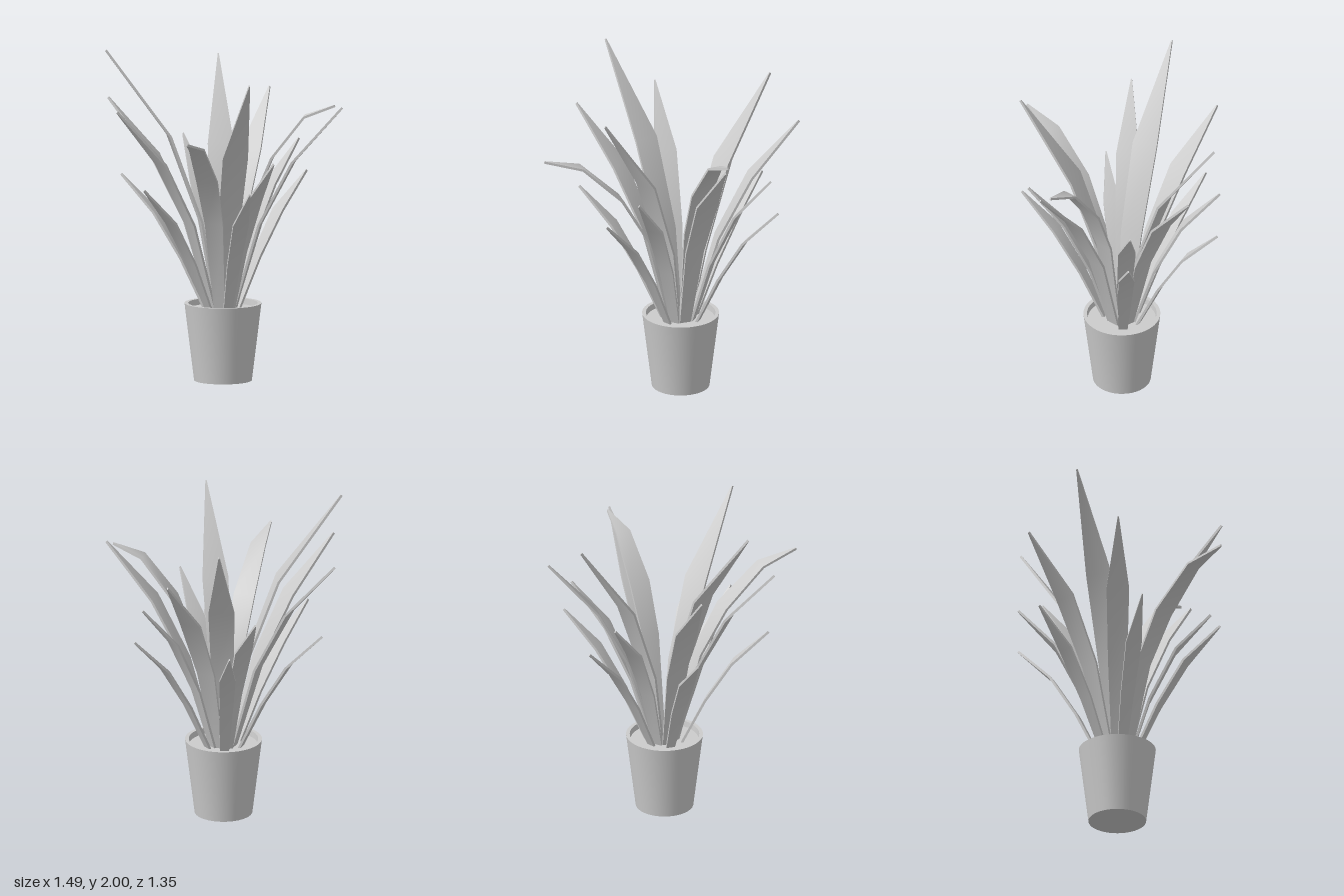
import * as THREE from 'three';
import { toCreasedNormals } from 'three/addons/utils/BufferGeometryUtils.js';

const CX = 0.045, CZ = 0.02; // pot axis
const SOIL = 0.43;

// Leaf types: spine as [fraction of reach, fraction of tip height, fraction of width]
const TYPES = {
  tall:   { width: 0.155, spine: [[0.06, 0.21, 0.5], [0.19, 0.48, 0.85], [0.46, 0.74, 1], [1, 1, 0.04]] },
  medium: { width: 0.135, spine: [[0.09, 0.25, 0.5], [0.31, 0.57, 0.85], [0.59, 0.8, 1], [1, 1, 0.05]] },
  small:  { width: 0.105, spine: [[0.13, 0.3, 0.55], [0.34, 0.58, 0.85], [0.62, 0.82, 1], [1, 1, 0.06]] },
  short:  { width: 0.095, spine: [[0.17, 0.35, 0.55], [0.4, 0.6, 0.85], [0.66, 0.82, 1], [1, 1, 0.06]] },
  droopy: { width: 0.13, spine: [[0.08, 0.26, 0.5], [0.25, 0.63, 0.85], [0.44, 0.81, 1], [0.73, 0.96, 0.72], [1, 1, 0.06]] },
};

// Tip of every leaf: type, x, y, z
const LEAVES = [
  ['tall', -0.44, 2.0, -0.49], ['tall', 0.55, 1.865, -0.37], ['tall', -0.37, 1.865, 0.505],
  ['medium', -0.16, 1.665, -0.67], ['medium', -0.6, 1.665, -0.295],
  ['medium', 0.74, 1.665, -0.13], ['medium', 0.36, 1.655, 0.665],
  ['small', -0.165, 1.37, 0.535], ['small', 0.595, 1.4, 0.185], ['small', 0.35, 1.4, -0.485],
  ['short', -0.57, 1.205, -0.12], ['short', 0.64, 1.205, 0.21], ['short', 0.5, 1.21, -0.41],
  ['short', -0.14, 1.21, -0.59], ['short', -0.36, 1.21, 0.5],
  ['droopy', -0.745, 1.54, 0.315], ['droopy', 0.37, 1.66, 0.605],
];

// Thin blade lofted from rectangular cross-sections along a bent spine; it grows along +x
function bladeGeometry({ spine, width }, reach, height, thickness = 0.014) {
  const pts = spine.map(([r, h]) => new THREE.Vector2(r * reach, h * height));
  const pos = [], index = [];
  pts.forEach((p, i) => {
    const a = pts[Math.max(i - 1, 0)], b = pts[Math.min(i + 1, pts.length - 1)];
    const t = b.clone().sub(a).normalize();
    const nx = -t.y * thickness / 2, ny = t.x * thickness / 2;
    const w = spine[i][2] * width / 2;
    pos.push(p.x + nx, p.y + ny, -w, p.x + nx, p.y + ny, w,
             p.x - nx, p.y - ny, w, p.x - nx, p.y - ny, -w);
  });
  const last = (pts.length - 1) * 4;
  for (let s = 0; s < last; s += 4) {
    for (let k = 0; k < 4; k++) {
      const a = s + k, b = s + (k + 1) % 4;
      index.push(a, b, b + 4, a, b + 4, a + 4);
    }
  }
  index.push(0, 2, 1, 0, 3, 2, last, last + 1, last + 2, last, last + 2, last + 3);
  const g = new THREE.BufferGeometry();
  g.setAttribute('position', new THREE.Float32BufferAttribute(pos, 3));
  g.setIndex(index);
  return toCreasedNormals(g, 0.8);
}

export function createModel() {
  const model = new THREE.Group();
  model.name = 'pottedPlant';
  const material = new THREE.MeshStandardMaterial({ color: 0xcccccc });

  // Tapered pot with a thin rim
  const profile = [[0, 0], [0.172, 0], [0.229, 0.465], [0.207, 0.465], [0.2, SOIL - 0.02]]
    .map(([r, y]) => new THREE.Vector2(r, y));
  const pot = new THREE.Mesh(toCreasedNormals(new THREE.LatheGeometry(profile, 40), 0.6), material);
  pot.name = 'pot';
  pot.position.set(CX, 0, CZ);

  // Soil surface inside the pot
  const soil = new THREE.Mesh(new THREE.CircleGeometry(0.204, 40), material);
  soil.name = 'soil';
  soil.rotation.x = -Math.PI / 2;
  soil.position.set(CX, SOIL, CZ);
  model.add(pot, soil);

  // Leaves fan out from the pot axis towards their tips
  const leaves = new THREE.Group();
  leaves.name = 'leaves';
  LEAVES.forEach(([type, x, y, z], i) => {
    const dx = x - CX, dz = z - CZ;
    const leaf = new THREE.Mesh(bladeGeometry(TYPES[type], Math.hypot(dx, dz), y), material);
    leaf.name = `${type}Leaf${i + 1}`;
    leaf.position.set(CX, 0, CZ);
    leaf.rotation.y = Math.atan2(-dz, dx);
    leaves.add(leaf);
  });
  model.add(leaves);
  return model;
}
